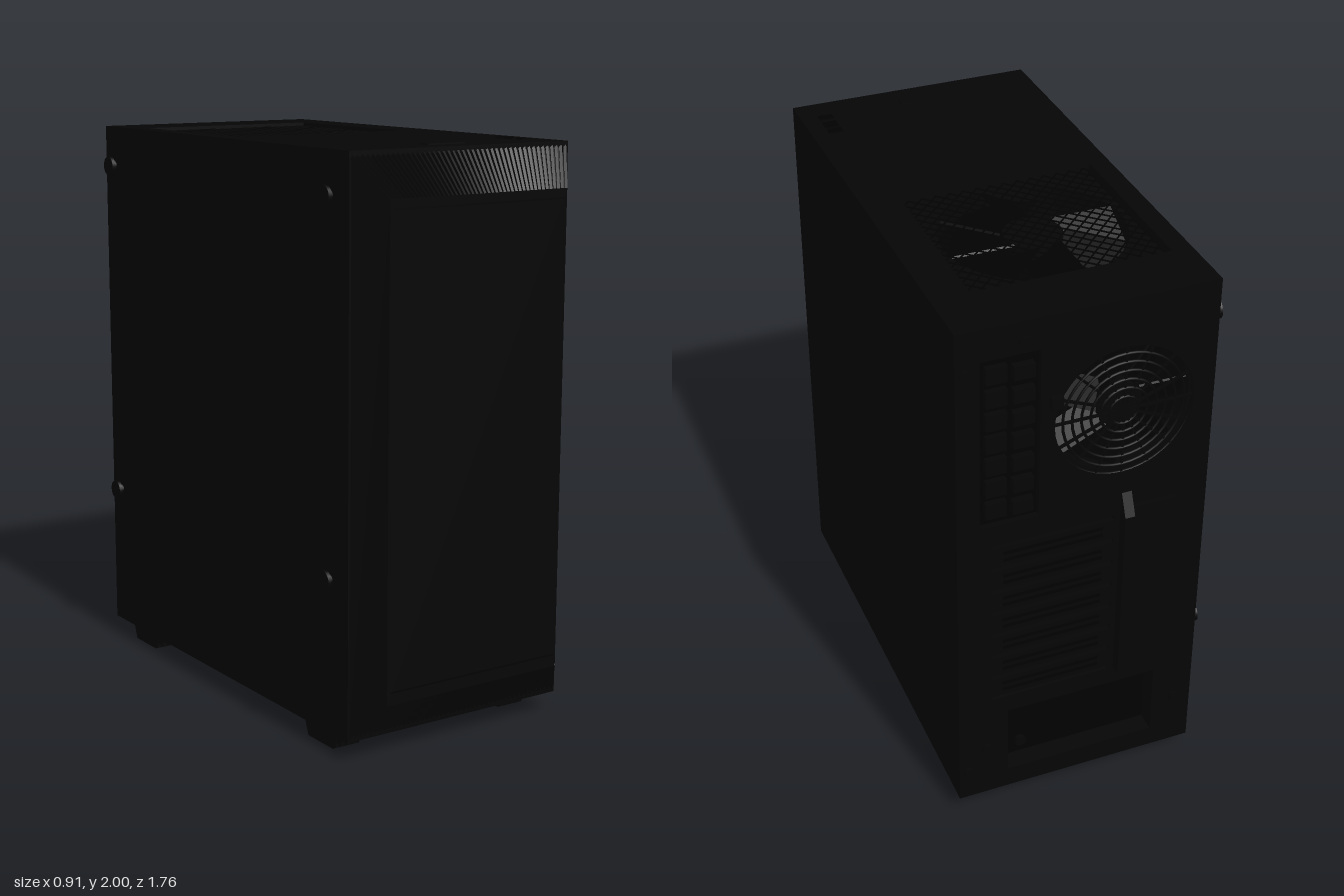
import * as THREE from 'three';

const mat = (name, color, side = THREE.FrontSide) => {
  const m = new THREE.MeshStandardMaterial({ color, side });
  m.name = name;
  return m;
};

export function createModel() {
  const black = mat('case black', 0x050505);
  const dark = mat('recess black', 0x010101);
  const skin = mat('front panel black', 0x050505, THREE.DoubleSide);
  const model = new THREE.Group();
  model.name = 'computerCase';

  const add = (name, geo, material = black, parent = model) => {
    const mesh = new THREE.Mesh(geo, material);
    mesh.name = name;
    parent.add(mesh);
    return mesh;
  };
  // box given by its limits on each axis
  const box = (name, x0, x1, y0, y1, z0, z1, material = black, parent = model) => {
    const m = add(name, new THREE.BoxGeometry(x1 - x0, y1 - y0, z1 - z0), material, parent);
    m.position.set((x0 + x1) / 2, (y0 + y1) / 2, (z0 + z1) / 2);
    return m;
  };
  // thin bar from a to b
  const bar = (name, a, b, w, h, material = black, parent = model) => {
    const m = add(name, new THREE.BoxGeometry(w, h, a.distanceTo(b)), material, parent);
    m.position.copy(a).add(b).multiplyScalar(0.5);
    m.lookAt(b);
    return m;
  };
  const rect = (x0, x1, y0, y1, Kind = THREE.Path) =>
    new Kind([[x0, y0], [x1, y0], [x1, y1], [x0, y1]].map(p => new THREE.Vector2(...p)));
  const circle = (x, y, r) => new THREE.Path().absarc(x, y, r, 0, Math.PI * 2, true);
  // flat plate with openings, lying in the xy plane
  const plate = (x0, x1, y0, y1, depth, holes) => {
    const s = rect(x0, x1, y0, y1, THREE.Shape);
    s.holes.push(...holes);
    return new THREE.ExtrudeGeometry(s, { depth, bevelEnabled: false, curveSegments: 24 });
  };
  const V = (x, y, z) => new THREE.Vector3(x, y, z);

  // Case walls
  box('leftSidePanel', 0.43, 0.45, 0.07, 1.995, -0.84, 0.77);
  box('rightSidePanel', -0.43, -0.41, 0.07, 1.995, -0.84, 0.77);
  box('bottomPanel', -0.41, 0.43, 0.07, 0.09, -0.84, 0.77);
  box('frontInnerWall', -0.41, 0.43, 0.09, 1.975, 0.74, 0.76, dark);
  const top = add('topPanel', plate(-0.41, 0.43, -0.77, 0.84, 0.02, [rect(-0.36, 0.32, 0, 0.63)]));
  top.rotation.x = -Math.PI / 2;
  top.position.y = 1.975;
  add('backPanel', plate(-0.41, 0.43, 0.09, 1.975, 0.02, [
    circle(-0.12, 1.58, 0.24), rect(0.17, 0.37, 1.25, 1.88),
    rect(-0.1, 0.33, 0.5, 1.17), rect(-0.28, 0.27, 0.15, 0.43),
  ])).position.z = -0.84;

  // Fan facing local +z, with square frame, hub and tilted blades
  const fan = (name, half, blades) => {
    const g = new THREE.Group();
    g.name = name;
    add('fanFrame', plate(-half, half, -half, half, 0.06, [circle(0, 0, half * 0.94)]), black, g).position.z = -0.07;
    const hub = add('fanHub', new THREE.CylinderGeometry(half * 0.3, half * 0.3, 0.05, 32), black, g);
    hub.rotation.x = Math.PI / 2;
    hub.position.z = -0.04;
    for (let i = 0; i < blades; i++) {
      const arm = new THREE.Group();
      arm.name = 'fanBlade';
      arm.rotation.z = (i / blades) * Math.PI * 2;
      g.add(arm);
      const b = add('blade', new THREE.BoxGeometry(half * 0.64, half * 0.42, 0.008), dark, arm);
      b.position.set(half * 0.59, 0, -0.045);
      b.rotation.x = 0.5;
    }
    model.add(g);
    return g;
  };

  // Top fan under a diagonal mesh
  const topFan = fan('topFan', 0.33, 8);
  topFan.rotation.x = -Math.PI / 2;
  topFan.position.set(-0.02, 1.98, -0.315);
  for (let i = -13; i <= 13; i++) {
    const d = i * 0.034, len = 2 * (0.33 * Math.SQRT2 - Math.abs(d));
    for (const s of [-1, 1]) {
      const m = add('topMeshBar', new THREE.BoxGeometry(len, 0.004, 0.004), dark, topFan);
      m.position.set(-s * d * Math.SQRT1_2, d * Math.SQRT1_2, 0.002);
      m.rotation.z = s * Math.PI / 4;
    }
  }

  // Rear fan behind a ring guard
  const rearFan = fan('rearFan', 0.255, 7);
  rearFan.rotation.y = Math.PI;
  rearFan.position.set(-0.12, 1.58, -0.81);
  for (let r = 0.05; r < 0.25; r += 0.032)
    add('guardRing', new THREE.TorusGeometry(r, 0.005, 6, 40), black, rearFan).position.z = 0.02;
  for (let i = 0; i < 8; i++) {
    const m = add('guardSpoke', new THREE.BoxGeometry(0.49, 0.008, 0.008), black, rearFan);
    m.position.z = 0.02;
    m.rotation.z = i * Math.PI / 8;
  }

  // Rear port area
  box('portBacking', 0.17, 0.37, 1.25, 1.88, -0.82, -0.81, dark);
  for (let i = 0; i < 7; i++) {
    const y = 1.28 + i * 0.085;
    box('portBlock', 0.19, 0.26, y, y + 0.05, -0.845, -0.82);
    box('portBlock', 0.28, 0.35, y, y + 0.06, -0.84, -0.82);
  }

  // Expansion slot covers and their projecting bracket
  box('slotBacking', -0.1, 0.33, 0.5, 1.17, -0.815, -0.81, dark);
  for (let i = 0; i < 7; i++) {
    const y = 0.51 + i * 0.094;
    box('slotCover', -0.1, 0.33, y, y + 0.078, -0.838, -0.82);
    for (const dy of [0.02, 0.048])
      box('slotVent', -0.06, 0.29, y + dy, y + dy + 0.012, -0.841, -0.838, dark);
  }
  const bracket = new THREE.Shape([[0.83, 0.5], [0.88, 0.5], [0.88, 1.18], [0.845, 1.26], [0.83, 1.26]]
    .map(p => new THREE.Vector2(...p)));
  const br = add('slotBracket', new THREE.ExtrudeGeometry(bracket, { depth: 0.035, bevelEnabled: false }));
  br.rotation.y = Math.PI / 2;
  br.position.x = -0.155;
  box('slotBracketPlate', -0.31, -0.155, 0.5, 1.2, -0.855, -0.83);

  // Power supply bay
  box('powerBayBack', -0.28, 0.27, 0.15, 0.43, -0.77, -0.76, dark);
  for (const [x0, x1, y0, y1] of [[-0.29, -0.28, 0.14, 0.44], [0.27, 0.28, 0.14, 0.44],
    [-0.28, 0.27, 0.14, 0.15], [-0.28, 0.27, 0.43, 0.44]])
    box('powerBayWall', x0, x1, y0, y1, -0.835, -0.76);

  // Thumb screws: axis along x on the side, along z on the back
  const screw = (name, pos, axis, r, len) => {
    const g = new THREE.Group();
    g.name = name;
    const shaft = add('shaft', new THREE.CylinderGeometry(r * 0.6, r * 0.6, len, 16), black, g);
    const head = add('head', new THREE.CylinderGeometry(r, r, len * 0.5, 20), black, g);
    shaft.position.y = len / 2;
    head.position.y = len * 0.75;
    if (axis === 'x') g.rotation.z = Math.PI / 2;
    else g.rotation.x = -Math.PI / 2;
    g.position.copy(pos);
    model.add(g);
  };
  for (const y of [0.6, 1.85])
    for (const z of [-0.78, 0.67]) screw('sidePanelScrew', V(-0.43, y, z), 'x', 0.035, 0.025);
  for (const [x, y] of [[0.42, 1.85], [0.42, 0.2], [0.35, 0.29], [0.23, 0.29], [0.23, 1.93], [-0.36, 0.29]])
    screw('backScrew', V(x, y, -0.84), 'z', 0.02, 0.022);
  box('backClip', 0.1, 0.14, 1.66, 1.7, -0.862, -0.835);

  // Front panel: raised face with sloping sides
  const inner = { l: -0.345, r: 0.365, b: 0.21, t: 1.85, z: 0.88 };
  const outer = { l: -0.425, r: 0.445, b: 0.075, t: 1.99, z: 0.775 };
  const corner = (q, a, b) => V(q[a], q[b], q.z);
  const quad = (name, pts, material) => {
    const g = new THREE.BufferGeometry().setFromPoints([0, 1, 2, 0, 2, 3].map(i => pts[i]));
    g.computeVertexNormals();
    return add(name, g, material);
  };
  box('frontFace', inner.l, inner.r, inner.b, inner.t, 0.86, 0.88);
  quad('frontRightSlope', [corner(outer, 'l', 'b'), corner(inner, 'l', 'b'), corner(inner, 'l', 't'), corner(outer, 'l', 't')], skin);
  quad('frontLeftSlope', [corner(inner, 'r', 'b'), corner(outer, 'r', 'b'), corner(outer, 'r', 't'), corner(inner, 'r', 't')], skin);
  box('frontRim', -0.43, 0.45, 0.07, 0.09, 0.76, 0.78);
  box('frontRim', -0.43, 0.45, 1.975, 1.995, 0.76, 0.78);
  box('frontRim', -0.43, -0.41, 0.09, 1.975, 0.76, 0.78);
  box('frontRim', 0.43, 0.45, 0.09, 1.975, 0.76, 0.78);
  for (const y of [0.25, 1.815]) box('frontGroove', -0.33, 0.355, y, y + 0.006, 0.879, 0.8805, dark);

  // Slatted vents on the top and bottom slopes
  for (const [e, s, name] of [['t', 1, 'topVent'], ['b', -1, 'bottomVent']]) {
    const pts = [corner(inner, 'l', e), corner(inner, 'r', e), corner(outer, 'r', e), corner(outer, 'l', e)];
    pts.forEach(p => p.add(V(0, -s * 0.012, -0.014)));
    if (s < 0) pts.reverse();
    quad(name + 'Backing', pts, dark);
    const n = 44;
    for (let i = 0; i <= n; i++) {
      const a = V(THREE.MathUtils.lerp(inner.l, inner.r, i / n), inner[e] - s * 0.004, inner.z - 0.006);
      const b = V(THREE.MathUtils.lerp(outer.l, outer.r, i / n), outer[e] - s * 0.004, outer.z - 0.006);
      bar(name + 'Slat', a, b, 0.009, 0.012);
    }
  }

  // Top controls and plain badge plate
  box('badgePlate', -0.07, 0.08, 1.995, 2, 0.66, 0.7);
  for (const [z, h] of [[0.55, 0.03], [0.6, 0.045], [0.66, 0.03]])
    box('topControl', 0.34, 0.39, 1.994, 2, z - h / 2, z + h / 2, dark);

  // Feet: ribbed blocks with open channels running front to back
  const side = new THREE.Shape([[-0.075, 0], [0.075, 0], [0.095, 0.05], [0.095, 0.075], [-0.095, 0.075], [-0.095, 0.05]]
    .map(p => new THREE.Vector2(...p)));
  const rib = new THREE.ExtrudeGeometry(side, { depth: 0.008, bevelEnabled: false });
  for (const x of [-0.4, 0.305])
    for (const z of [-0.655, 0.575]) {
      const foot = new THREE.Group();
      foot.name = 'foot';
      foot.position.set(x, 0, z);
      for (let i = 0; i < 5; i++) {
        const m = add('footRib', rib, black, foot);
        m.rotation.y = Math.PI / 2;
        m.position.x = i * 0.0245;
      }
      box('footSole', 0, 0.106, 0, 0.01, -0.075, 0.075, black, foot);
      box('footTop', 0, 0.106, 0.06, 0.075, -0.095, 0.095, black, foot);
      model.add(foot);
    }
  return model;
}
